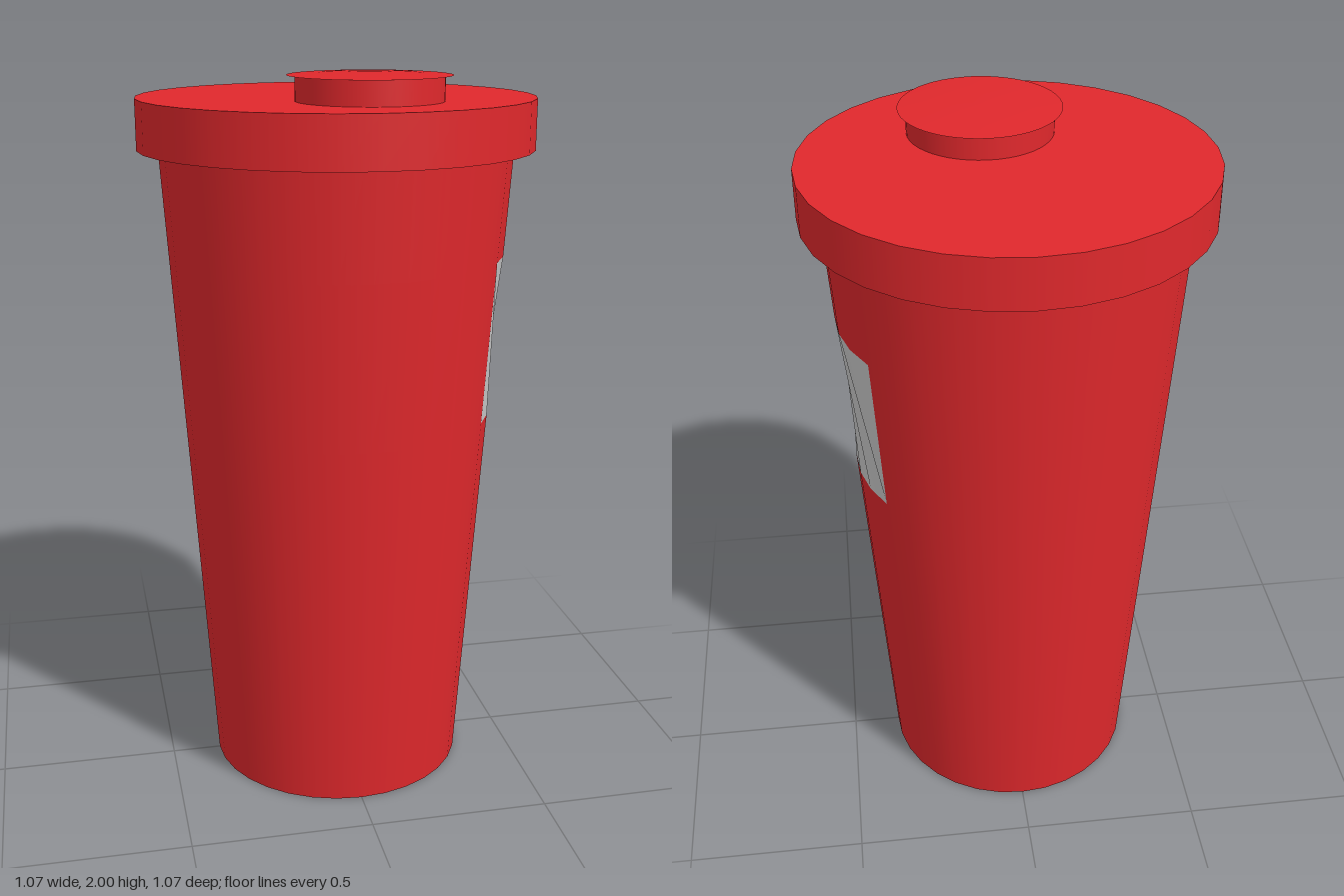
import * as THREE from 'three';

const SIDES = 32;
const STEP = (Math.PI * 2) / SIDES;
const LABEL_LOW = 1.06, LABEL_HIGH = 1.51, BODY_TOP = 1.93;
const bodyRadius = (y) => 0.361 + 0.0665 * y;

export function createModel() {
  const model = new THREE.Group();
  const red = new THREE.MeshStandardMaterial({ color: 0xe0282c, side: THREE.DoubleSide });
  const grey = new THREE.MeshStandardMaterial({ color: 0xcccccc, side: THREE.DoubleSide });

  const add = (name, geometry, material, parent = model) => {
    const mesh = new THREE.Mesh(geometry, material);
    mesh.name = name;
    parent.add(mesh);
    return mesh;
  };

  // Tapered body in three bands; the middle one leaves a window for the label
  const body = new THREE.Group();
  body.name = 'body';
  model.add(body);
  const band = (name, y0, y1, start = 0, sides = SIDES) => {
    const geometry = new THREE.CylinderGeometry(
      bodyRadius(y1), bodyRadius(y0), y1 - y0, sides, 1, true, start * STEP, sides * STEP);
    add(name, geometry, red, body).position.y = (y0 + y1) / 2;
  };
  band('lowerBody', 0, LABEL_LOW);
  band('middleBody', LABEL_LOW, LABEL_HIGH, 11, SIDES - 6);
  band('upperBody', LABEL_HIGH, BODY_TOP);
  const base = add('base', new THREE.CircleGeometry(bodyRadius(0), SIDES), red, body);
  base.rotation.x = Math.PI / 2;

  // Slightly dented label: two arcs of seven points joined by a skewed strip
  const points = [];
  for (const y of [LABEL_HIGH, LABEL_LOW]) {
    for (let i = 0; i < 7; i++) {
      const angle = (5 + i) * STEP;
      points.push(bodyRadius(y) * Math.sin(angle), y, bodyRadius(y) * Math.cos(angle));
    }
  }
  const faces = [];
  let top = 0, low = 0;
  for (const move of 'bbbtbtbtbttt') {
    if (move === 'b') {
      faces.push(top, 7 + low, 8 + low);
      low++;
    } else {
      faces.push(top, 7 + low, top + 1);
      top++;
    }
  }
  const labelGeometry = new THREE.BufferGeometry();
  labelGeometry.setAttribute('position', new THREE.Float32BufferAttribute(points, 3));
  labelGeometry.setIndex(faces);
  labelGeometry.computeVertexNormals();
  add('label', labelGeometry, grey);

  // Lid, open underneath
  const lid = new THREE.Group();
  lid.name = 'lid';
  model.add(lid);
  add('lidRim', new THREE.CylinderGeometry(0.537, 0.537, 0.135, SIDES, 1, true), red, lid)
    .position.y = 1.8625;
  const lidTop = add('lidTop', new THREE.CircleGeometry(0.537, SIDES), red, lid);
  lidTop.rotation.x = -Math.PI / 2;
  lidTop.position.y = 1.93;

  // Off-centre spout with a thin, faintly domed cap
  const spout = new THREE.Group();
  spout.name = 'spout';
  spout.position.set(0.05, 0, 0.186);
  model.add(spout);
  add('spoutNeck', new THREE.CylinderGeometry(0.193, 0.193, 0.065, 48), red, spout)
    .position.y = 1.9625;
  const dome = [[0.214, 1.995], [0.14, 1.998], [0.07, 1.9995], [0, 2]]
    .map(([r, y]) => new THREE.Vector2(r, y));
  add('spoutCap', new THREE.LatheGeometry(dome, 48), red, spout);

  return model;
}
